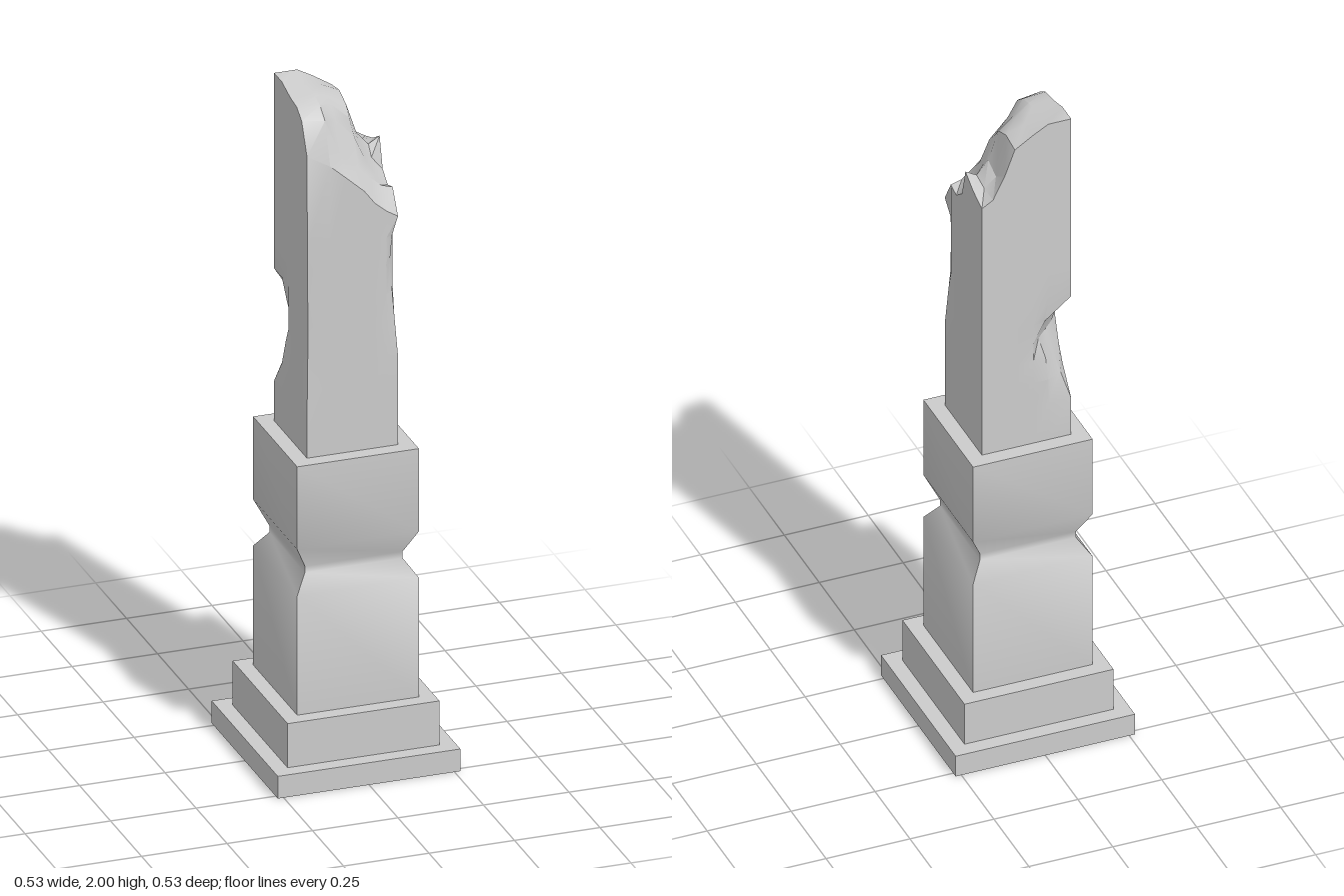
import * as THREE from 'three';
import { toCreasedNormals } from 'three/addons/utils/BufferGeometryUtils.js';

const material = new THREE.MeshStandardMaterial({ color: 0xcccccc, side: THREE.DoubleSide });

function addMesh(group, name, geometry) {
  const mesh = new THREE.Mesh(geometry, material);
  mesh.name = name;
  group.add(mesh);
}

// Open square shell swept from [half width, height] points
function squareShell(profile) {
  const points = profile.map(([half, y]) => new THREE.Vector2(half * Math.SQRT2, y));
  return toCreasedNormals(new THREE.LatheGeometry(points, 4, Math.PI / 4), 1);
}

// Grid lines of the shaft; the last row follows the broken top
const XS = [-0.133, -0.065, -0.02, 0.035, 0.065, 0.1, 0.133];
const ZS = [-0.133, -0.07, -0.015, 0.01, 0.05, 0.09, 0.133];
const YS = [0.95, 1.07, 1.15, 1.22, 1.28, 1.34, 1.41, 1.5, 1.58];

// Heights of the broken top, one row per z line
const TOP = [
  [2.0, 2.0, 1.975, 1.94, 1.86, 1.79, 1.77],
  [2.0, 1.985, 1.975, 1.95, 1.82, 1.79, 1.79],
  [1.985, 1.985, 1.965, 1.93, 1.84, 1.8, 1.82],
  [1.98, 1.98, 1.95, 1.9, 1.82, 1.77, 1.73],
  [1.975, 1.97, 1.92, 1.86, 1.79, 1.73, 1.7],
  [1.95, 1.94, 1.83, 1.78, 1.75, 1.72, 1.71],
  [1.86, 1.82, 1.78, 1.73, 1.69, 1.66, 1.64],
];

// Chips cut from the vertical edges: corner signs and [height, cut] points
const CHIPS = [
  { sx: -1, sz: -1, cut: [[1.07, 0], [1.15, 0.045], [1.28, 0.11], [1.34, 0.085], [1.41, 0]] },
  { sx: 1, sz: 1, cut: [[1.22, 0], [1.41, 0.025], [1.5, 0.035], [1.58, 0.025], [1.64, 0]] },
  { sx: -1, sz: 1, cut: [[1.07, 0], [1.28, 0.008], [1.5, 0.006], [1.7, 0]] },
];

function cutAt(cut, y) {
  for (let i = 1; i < cut.length; i++) {
    const [y0, a0] = cut[i - 1], [y1, a1] = cut[i];
    if (y >= y0 && y <= y1) return a0 + (a1 - a0) * (y - y0) / (y1 - y0);
  }
  return 0;
}

function brokenShaft() {
  const nx = XS.length - 1, ny = YS.length, nz = ZS.length - 1;
  const geo = new THREE.BoxGeometry(1, 1, 1, nx, ny, nz);
  const pos = geo.attributes.position;
  for (let v = 0; v < pos.count; v++) {
    const i = Math.round((pos.getX(v) + 0.5) * nx);
    const j = Math.round((pos.getY(v) + 0.5) * ny);
    const k = Math.round((pos.getZ(v) + 0.5) * nz);
    let x = XS[i], z = ZS[k];
    const y = j < ny ? YS[j] : TOP[k][i];
    // Push back whatever lies beyond a chip's diagonal plane
    for (const { sx, sz, cut } of CHIPS) {
      const amount = cutAt(cut, y);
      const excess = sx * x + sz * z - (0.266 - amount);
      if (amount > 0 && excess > 0) {
        x -= sx * excess / 2;
        z -= sz * excess / 2;
      }
    }
    pos.setXYZ(v, x, y, z);
  }
  // Leave the bottom open
  const index = Array.from(geo.index.array);
  index.splice(geo.groups[3].start, geo.groups[3].count);
  geo.setIndex(index);
  geo.clearGroups();
  return toCreasedNormals(geo, 0.55);
}

export function createModel() {
  const model = new THREE.Group();
  model.name = 'brokenObelisk';

  // Stepped base
  addMesh(model, 'lowerStep', squareShell([[0.267, 0], [0.267, 0.067], [0.222, 0.067]]));
  addMesh(model, 'upperStep', squareShell([[0.222, 0.067], [0.222, 0.2], [0.178, 0.2]]));

  // Pedestal with a groove round its middle
  addMesh(model, 'pedestal', squareShell([
    [0.178, 0.2], [0.178, 0.56], [0.143, 0.61], [0.143, 0.63],
    [0.178, 0.7], [0.178, 0.95], [0.133, 0.95],
  ]));

  // Weathered shaft
  addMesh(model, 'brokenShaft', brokenShaft());
  return model;
}
